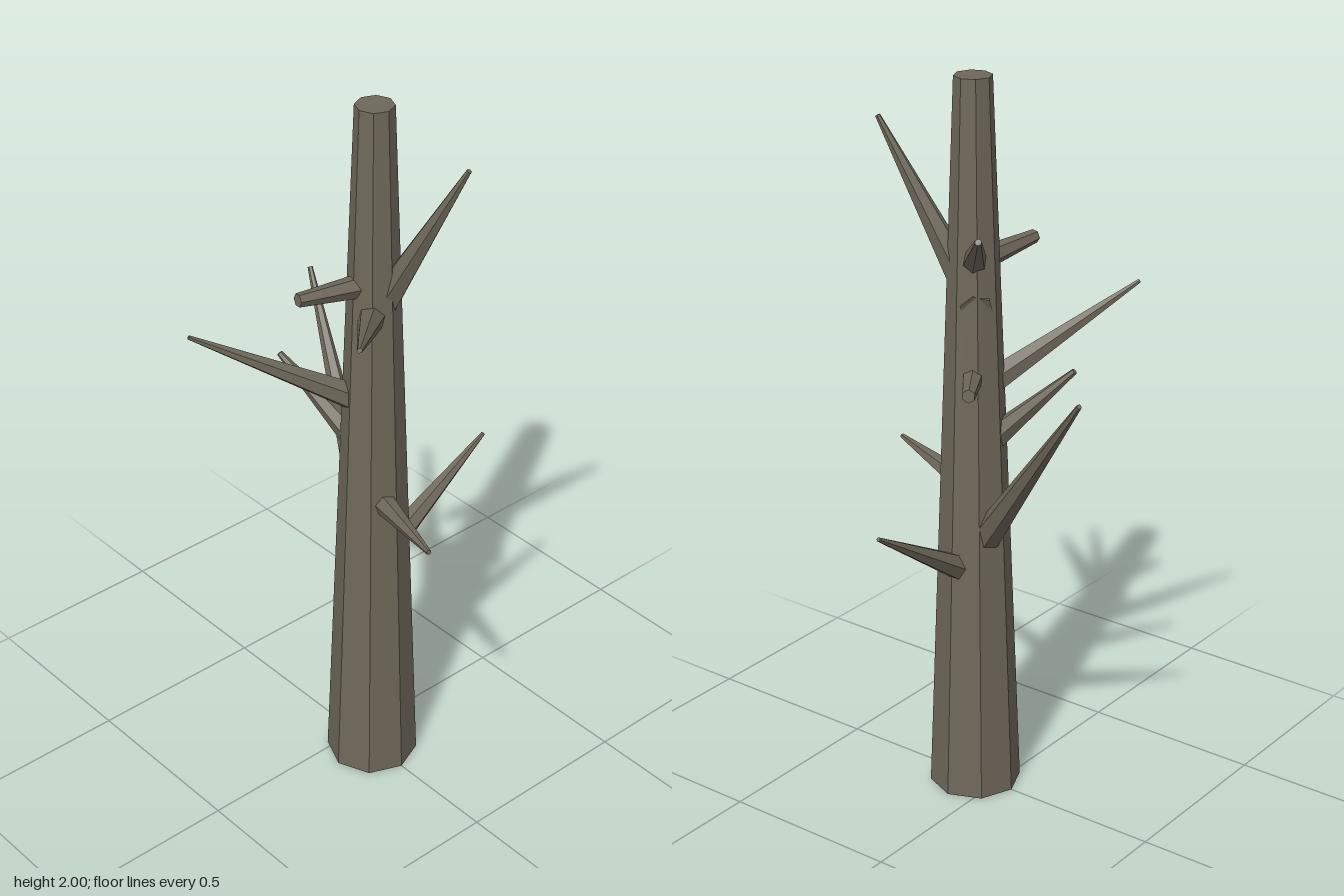
import * as THREE from 'three';

const UP = new THREE.Vector3(0, 1, 0);
const TRUNK_Z = 0.07;

export function createModel() {
  const group = new THREE.Group();
  group.name = 'deadTree';
  const bark = new THREE.MeshStandardMaterial({ color: 0x6e675a, flatShading: true });
  bark.name = 'greyBrownBark';

  // Tapered eight-sided trunk
  const trunk = new THREE.Mesh(new THREE.CylinderGeometry(0.05, 0.125, 2, 8), bark);
  trunk.name = 'trunk';
  trunk.position.set(0, 1, TRUNK_Z);
  group.add(trunk);

  // Bare tapered branch between two points
  function addBranch(name, start, end, baseRadius, tipRadius) {
    const dir = end.clone().sub(start);
    const geometry = new THREE.CylinderGeometry(tipRadius, baseRadius, dir.length(), 6);
    const branch = new THREE.Mesh(geometry, bark);
    branch.name = name;
    branch.position.copy(start).addScaledVector(dir, 0.5);
    branch.quaternion.setFromUnitVectors(UP, dir.normalize());
    group.add(branch);
  }

  // name, height on the trunk axis, tip x, y, z, base radius, tip radius
  const branches = [
    ['lowLeftBranch', 0.63, 0.4, 0.88, 0.07, 0.043, 0.006],
    ['longBackBranch', 0.69, 0.18, 1.285, -0.39, 0.046, 0.007],
    ['lowFrontBranch', 0.875, -0.105, 0.91, 0.4, 0.038, 0.007],
    ['shortBackBranch', 0.98, -0.11, 1.235, -0.172, 0.042, 0.008],
    ['rightBackBranch', 1.15, -0.4, 1.4, -0.173, 0.042, 0.006],
    ['leftStub', 1.21, 0.182, 1.23, -0.052, 0.032, 0.018],
    ['highFrontBranch', 1.41, 0.095, 1.88, 0.3, 0.045, 0.007],
    ['highLeftBranch', 1.5, 0.173, 1.64, -0.077, 0.038, 0.009],
    ['rightStub', 1.51, -0.22, 1.53, 0.037, 0.034, 0.018],
  ];
  for (const [name, y, tx, ty, tz, baseRadius, tipRadius] of branches) {
    addBranch(name, new THREE.Vector3(0, y, TRUNK_Z), new THREE.Vector3(tx, ty, tz), baseRadius, tipRadius);
  }

  // This branch runs right through the trunk, its root just showing behind
  addBranch('rightFrontBranch', new THREE.Vector3(0.04, 1.4, 0.03),
    new THREE.Vector3(-0.285, 1.555, 0.34), 0.045, 0.007);

  return group;
}
